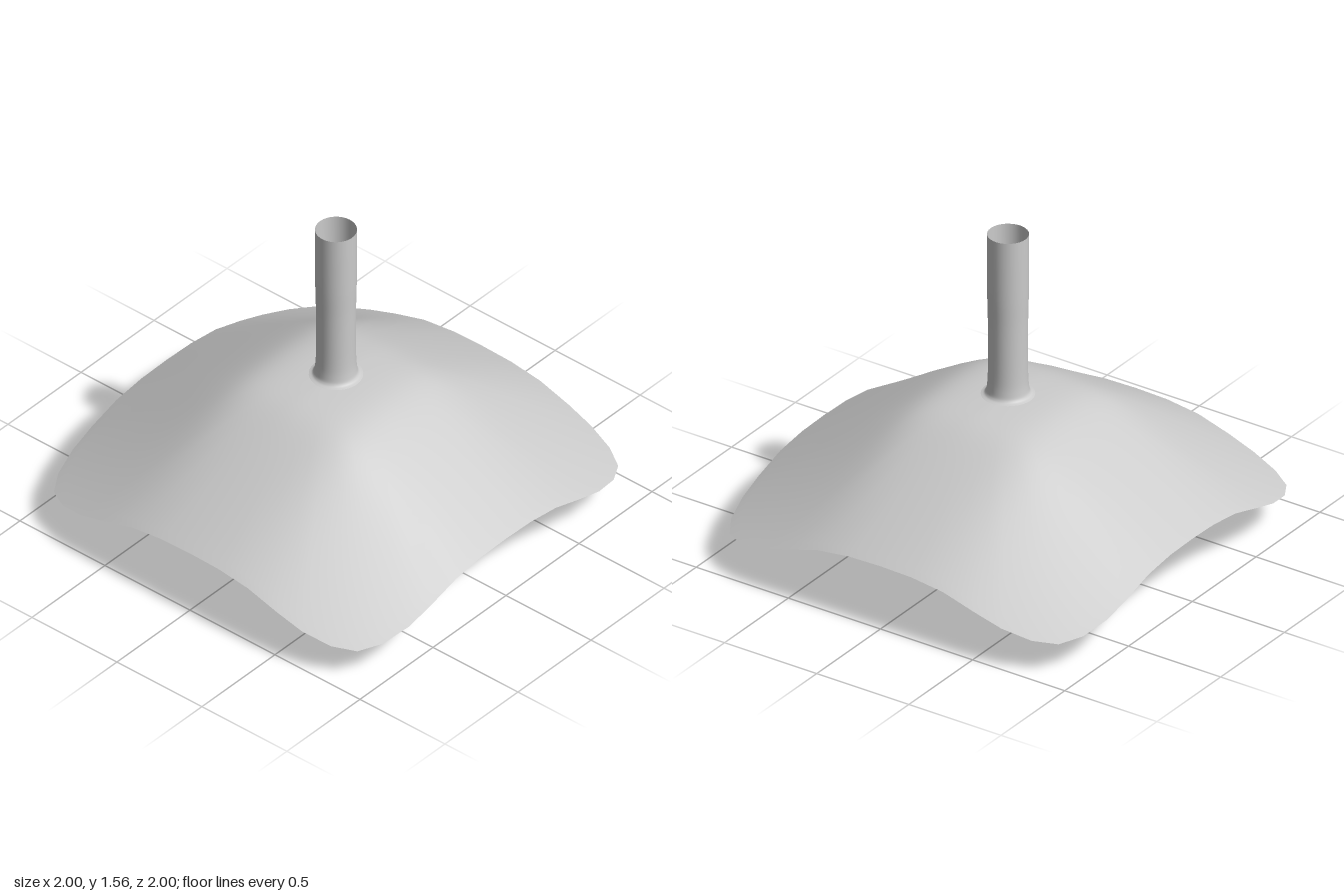
import * as THREE from 'three';

const material = new THREE.MeshStandardMaterial({ color: 0xcccccc, side: THREE.DoubleSide });

// Drop of the canopy away from its centre line: flat crown, then a straight slope
function drop(v) {
  const d = Math.abs(v) - 0.3;
  return 0.31 * (d + Math.hypot(d, 0.12)) - 0.007;
}

const canopyHeight = (x, z) => -0.25 + (1 - drop(x)) * (1 - drop(z));

// Rounded square outline, built from one eighth by mirroring and quarter turns
function rimPoints() {
  const half = [[1, 0], [1, 0.17], [1, 0.34], [0.999, 0.51], [0.99, 0.65], [0.955, 0.79], [0.893, 0.893]];
  const quarter = [...half, ...half.slice(1, -1).reverse().map(([x, z]) => [z, x])];
  const rim = [];
  for (let k = 0; k < 4; k++) {
    const c = [1, 0, -1, 0][k], s = [0, 1, 0, -1][k];
    for (const [x, z] of quarter) rim.push([x * c - z * s, x * s + z * c]);
  }
  return rim;
}

// Thin canopy: rings that blend from the round hole to the rounded square rim
function canopyGeometry() {
  const rim = rimPoints(), n = rim.length, rings = 24, hole = 0.115;
  const positions = [], index = [];
  for (let i = 0; i <= rings; i++) {
    const t = i / rings;
    for (const [rx, rz] of rim) {
      const k = hole / Math.hypot(rx, rz);
      const x = rx * (k + (1 - k) * t), z = rz * (k + (1 - k) * t);
      positions.push(x, canopyHeight(x, z), z);
    }
  }
  for (let i = 0; i < rings; i++) {
    for (let j = 0; j < n; j++) {
      const a = i * n + j, b = i * n + (j + 1) % n;
      index.push(a, b, a + n, b, b + n, a + n);
    }
  }
  const geometry = new THREE.BufferGeometry();
  geometry.setAttribute('position', new THREE.Float32BufferAttribute(positions, 3));
  geometry.setIndex(index);
  geometry.computeVertexNormals();
  return geometry;
}

// Open turned part from a smooth profile of [radius, height] points
function turned(points, steps) {
  const curve = new THREE.SplineCurve(points.map(([r, y]) => new THREE.Vector2(r, y)));
  return new THREE.LatheGeometry(curve.getPoints(steps), 32);
}

export function createModel() {
  const group = new THREE.Group();
  const add = (name, geometry) => {
    const mesh = new THREE.Mesh(geometry, material);
    mesh.name = name;
    group.add(mesh);
  };

  add('canopy', canopyGeometry());

  // Hollow upper tube with a small flare where it meets the canopy
  add('upperTube', turned([
    [0.122, 0.748], [0.104, 0.757], [0.095, 0.785], [0.09, 0.87],
    [0.09, 1.1], [0.093, 1.25], [0.094, 1.4], [0.094, 1.56],
  ], 56));

  // Hollow lower stem: open bulb, narrow neck and a funnel up into the tube
  add('lowerStem', turned([
    [0.045, 0], [0.083, 0.05], [0.102, 0.115], [0.086, 0.18], [0.055, 0.24],
    [0.046, 0.3], [0.045, 0.42], [0.046, 0.56], [0.056, 0.65], [0.075, 0.72], [0.095, 0.785],
  ], 70));

  return group;
}
